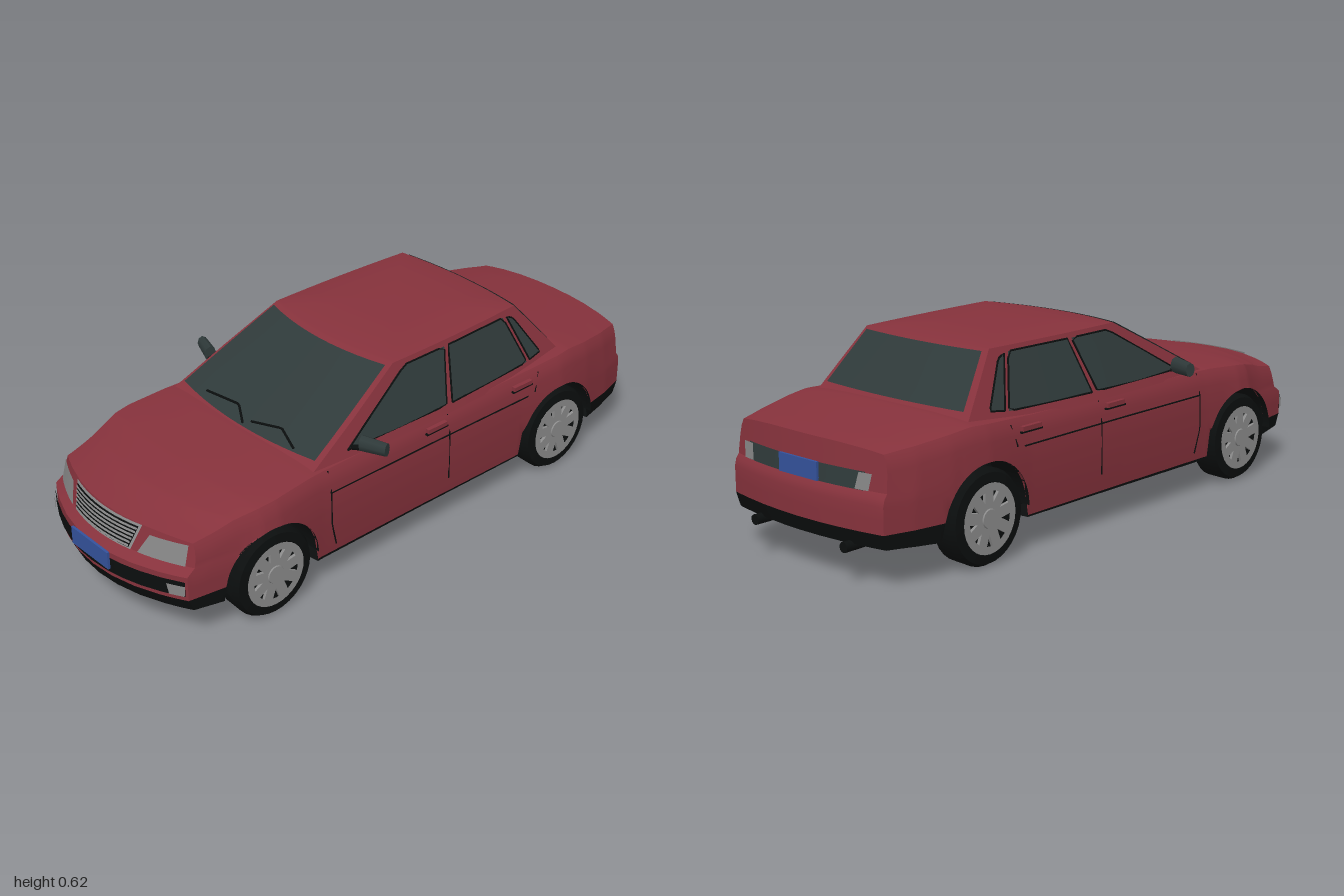
import * as THREE from 'three';
import { toCreasedNormals } from 'three/addons/utils/BufferGeometryUtils.js';

const mat = (name, color) => new THREE.MeshStandardMaterial({ name, color, side: THREE.DoubleSide });
const paint = mat('red paint', 0x86323c), glass = mat('dark glass', 0x2f3a3a);
const black = mat('black trim', 0x0b0e0e), silver = mat('silver', 0x8c8c8c);
const blue = mat('plate blue', 0x34529c), lamp = mat('lamp grey', 0x858585);

const R_ARCH = 0.165, WHEEL_Y = 0.15, WHEEL_Z = [0.612, -0.6], END = 0.995;

// piecewise linear lookup
function look(tab, v) {
  if (v <= tab[0][0]) return tab[0][1];
  for (let i = 1; i < tab.length; i++) {
    const [a, p] = tab[i - 1], [b, q] = tab[i];
    if (v <= b) return p + (q - p) * (v - a) / (b - a);
  }
  return tab[tab.length - 1][1];
}
const halfWidth = z => look([[-1, 0.315], [-0.9, 0.343], [-0.75, 0.366], [-0.6, 0.378], [-0.42, 0.368], [0, 0.366],
  [0.42, 0.368], [0.6, 0.379], [0.7, 0.373], [0.85, 0.35], [0.94, 0.338], [1, 0.328]], z);
const topY = z => look([[-1, 0.405], [-0.93, 0.413], [-0.65, 0.438], [-0.4, 0.425], [0.46, 0.418], [0.7, 0.402],
  [0.85, 0.385], [0.93, 0.368], [1, 0.355]], z);
const shoulderY = z => topY(z) - 0.015;
const floorY = z => look([[-1, 0.125], [-0.75, 0.11], [0.75, 0.105], [1, 0.13]], z);
const redY = z => (Math.abs(z) > 0.74 ? 0.17 : 0.115);
const sideX = (z, y) => halfWidth(z) * look([[0, 0.94], [0.02, 0.97], [0.05, 0.988], [0.1, 1], [0.23, 1], [0.3, 0.975]], shoulderY(z) - y);

// bows the two ends in plan and sets the upper nose and tail back from the bumpers
function warp(x, y, z) {
  if (z > 0) {
    const lean = look([[0.1, 0.03], [0.17, 0], [0.25, 0], [0.27, 0.03], [0.36, 0.055]], y);
    return [x, y, z - THREE.MathUtils.smoothstep(z, 0.55, 0.98) * (0.9 * x * x + lean)];
  }
  const lean = look([[0.1, 0.02], [0.17, 0], [0.265, 0], [0.28, 0.015], [0.41, 0.03]], y);
  return [x, y, z + THREE.MathUtils.smoothstep(-z, 0.65, 0.99) * (0.35 * x * x + lean)];
}
function archY(z) {
  for (const c of WHEEL_Z) {
    const d = Math.abs(z - c);
    if (d < R_ARCH) return WHEEL_Y + Math.sqrt(R_ARCH * R_ARCH - d * d);
  }
  return 0;
}

// surface from a grid of points
function grid(fn, ni, nj, crease = 0.5) {
  const pos = [], idx = [];
  for (let i = 0; i <= ni; i++) for (let j = 0; j <= nj; j++) pos.push(...fn(i, j));
  for (let i = 0; i < ni; i++) for (let j = 0; j < nj; j++) {
    const a = i * (nj + 1) + j, b = a + nj + 1;
    idx.push(a, a + 1, b, b, a + 1, b + 1);
  }
  const g = new THREE.BufferGeometry();
  g.setAttribute('position', new THREE.Float32BufferAttribute(pos, 3));
  g.setIndex(idx);
  return toCreasedNormals(g, crease);
}
function add(parent, name, geo, material, p = [0, 0, 0]) {
  const m = new THREE.Mesh(geo, material);
  m.name = name;
  m.position.set(...p);
  parent.add(m);
  return m;
}
// bilinear point in a quad of four 2D corners
const quadPoint = (q, s, t) => [0, 1].map(k =>
  (q[0][k] * (1 - s) + q[1][k] * s) * (1 - t) + (q[3][k] * (1 - s) + q[2][k] * s) * t);
const patch = (q, map, n = 10) => grid((i, j) => map(...quadPoint(q, i / n, j / 4)), n, 4);
function line(parent, name, pts, r = 0.003, material = black) {
  const path = new THREE.CurvePath();
  for (let i = 1; i < pts.length; i++) path.add(new THREE.LineCurve3(new THREE.Vector3(...pts[i - 1]), new THREE.Vector3(...pts[i])));
  add(parent, name, new THREE.TubeGeometry(path, 8 * (pts.length - 1), r, 5), material);
}

// body shell: cross-sections along z, wheel arches cut into the lower edge
const STATIONS = Array.from({ length: 141 }, (_, i) => -END + 2 * END * i / 140);
const CROWN = [0, 0.25, 0.5, 0.75, 0.9, 1];
const crownY = (z, f) => shoulderY(z) + (topY(z) - shoulderY(z)) * (1 - f ** 3);
function shell(parent, name, rows, crown, material) {
  const half = z => {
    const top = crown ? CROWN.slice(0, -1).map(f => [f * sideX(z, shoulderY(z)), crownY(z, f)]) : [];
    return [...top, ...rows(z).map(y => [sideX(z, y), y])].map(([x, y]) => {
      const p = warp(x, y, z);
      p[1] = Math.max(y, x > 0.3 ? archY(p[2]) : 0);
      return p;
    });
  };
  const sections = STATIONS.map(half), n = sections[0].length - 1;
  if (crown) add(parent, name, grid((i, j) => {
    const p = sections[i][Math.abs(j - n)];
    return [j < n ? -p[0] : p[0], p[1], p[2]];
  }, 140, 2 * n), material);
  else for (const s of [-1, 1]) add(parent, name, grid((i, j) => [s * sections[i][j][0], sections[i][j][1], sections[i][j][2]], 140, n), material);
  for (const z of [-END, END]) {
    const ys = rows(z);
    add(parent, name + (z > 0 ? 'Front' : 'Rear'), grid((i, j) => {
      const f = CROWN[Math.abs(j - 5)] * Math.sign(j - 5);
      return warp(f * sideX(z, ys[i]), crown && i === 0 ? crownY(z, Math.abs(f)) : ys[i], z);
    }, ys.length - 1, 10, 0.4), material);
  }
}

// cabin surfaces
const cabY = v => 0.4 + 0.205 * v;
const frontZ = v => 0.44 - 0.38 * v, rearZ = v => -0.65 + 0.17 * v;
const cabX = (z, y) => 0.35 - 0.4 * (y - 0.41) - 0.08 * (z + 0.05) ** 2;
const screen = (u, v, o = 0) => [u * cabX(frontZ(v), cabY(v)), cabY(v) + o, frontZ(v) + 0.04 * (1 - u * u) + o / 2];
const backlight = (u, v, o = 0) => [u * cabX(rearZ(v), cabY(v)), cabY(v) + o, rearZ(v) - 0.02 * (1 - u * u) - o];
function cabinRing(v) {
  const pts = [], n = 8;
  for (let i = 0; i < n; i++) pts.push(screen(-1 + 2 * i / n, v));
  for (let i = 0; i < n; i++) { const z = frontZ(v) + (rearZ(v) - frontZ(v)) * i / n; pts.push([cabX(z, cabY(v)), cabY(v), z]); }
  for (let i = 0; i < n; i++) pts.push(backlight(1 - 2 * i / n, v));
  for (let i = 0; i <= n; i++) { const z = rearZ(v) + (frontZ(v) - rearZ(v)) * i / n; pts.push([-cabX(z, cabY(v)), cabY(v), z]); }
  return pts;
}

function buildWheel() {
  const w = new THREE.Group();
  const prof = [[0, -0.1], [0.13, -0.1], [0.143, -0.085], [0.145, -0.02], [0.135, -0.003], [0.108, 0], [0.1, -0.012], [0, -0.012]];
  const tyre = new THREE.LatheGeometry(prof.map(p => new THREE.Vector2(...p)), 32);
  add(w, 'tyre', toCreasedNormals(tyre.rotateZ(-Math.PI / 2), 0.6), black);
  add(w, 'rimRing', new THREE.RingGeometry(0.082, 0.106, 32).rotateY(Math.PI / 2), silver, [0.002, 0, 0]);
  add(w, 'hub', new THREE.CylinderGeometry(0.028, 0.034, 0.014, 16).rotateZ(-Math.PI / 2), silver, [-0.003, 0, 0]);
  for (let i = 0; i < 9; i++) {
    const a = i * Math.PI * 2 / 9;
    const s = add(w, 'spoke', new THREE.BoxGeometry(0.01, 0.066, 0.034), silver, [-0.005, Math.cos(a) * 0.056, Math.sin(a) * 0.056]);
    s.rotation.x = a;
  }
  return w;
}

export function createModel() {
  const car = new THREE.Group();
  car.name = 'sedan';
  shell(car, 'body', z => [0, 0.02, 0.05].map(d => shoulderY(z) - d).concat(0.285, 0.27, 0.25, 0.21, redY(z)), true, paint);
  shell(car, 'lowerSkirt', z => [redY(z), (redY(z) + floorY(z)) / 2, floorY(z)], false, black);

  // underside
  add(car, 'floor', grid((i, j) => {
    const z = STATIONS[i], y = floorY(z), p = warp(sideX(z, y), y, z);
    const x = archY(p[2]) ? 0.26 : p[0];
    return warp(x * (j / 4 - 1), y, z);
  }, 140, 8), black);
  add(car, 'chassis', new THREE.BoxGeometry(0.52, 0.22, 1.72), black, [0, 0.22, -0.02]);
  for (const z of WHEEL_Z) add(car, 'axle', new THREE.CylinderGeometry(0.03, 0.03, 0.56, 10).rotateZ(Math.PI / 2), black, [0, 0.115, z]);

  // cabin with crowned roof
  const rings = [0, 0.5, 1].map(cabinRing);
  for (const k of [0.97, 0.85, 0.6, 0.3, 0]) rings.push(rings[2].map(([x, , z]) => [x * k, 0.605 + 0.015 * (1 - k ** 4), -0.2 + (z + 0.2) * k]));
  add(car, 'cabin', grid((i, j) => rings[i][j], rings.length - 1, rings[0].length - 1, 0.45), paint);
  add(car, 'windscreen', patch([[-0.95, 0.1], [0.95, 0.1], [0.95, 0.96], [-0.95, 0.96]], (u, v) => screen(u, v, 0.005)), glass);
  add(car, 'rearWindow', patch([[-0.93, 0.22], [0.93, 0.22], [0.93, 0.95], [-0.93, 0.95]], (u, v) => backlight(u, v, 0.004)), glass);
  for (const [a, b, c] of [[-0.6, -0.15, 0.05], [0.12, 0.45, 0.7]])
    line(car, 'wiper', [screen(a, 0.16, 0.01), screen(b, 0.22, 0.01), screen(c, 0.12, 0.01)], 0.004);

  // side windows, seams, handles and mirrors
  const windows = [[[0.3, 0.428], [-0.1, 0.428], [-0.147, 0.59], [0.02, 0.59]],
    [[-0.125, 0.428], [-0.475, 0.432], [-0.415, 0.59], [-0.165, 0.59]],
    [[-0.49, 0.435], [-0.545, 0.442], [-0.46, 0.575], [-0.432, 0.588]]];
  for (const s of [1, -1]) {
    const onCabin = (z, y) => [s * (cabX(z, y) + 0.004), y, z];
    const onSide = (z, y) => [s * sideX(z, y), y, z];
    for (const q of windows) {
      add(car, 'sideWindow', patch(q, onCabin), glass);
      line(car, 'windowFrame', [...q, q[0]].map(p => onCabin(...p)), 0.003);
    }
    const seams = [[[0.39, 0.4], [0.39, 0.33], [0.39, 0.22], [0.37, 0.14]], [[-0.1, 0.4], [-0.1, 0.33], [-0.1, 0.17]],
      [[-0.5, 0.4], [-0.48, 0.335]], [[0.39, 0.33], [0, 0.33], [-0.45, 0.33]]];
    for (const q of seams) line(car, 'doorSeam', q.map(p => onSide(...p)), 0.0025);
    for (const z of [-0.04, -0.42]) {
      add(car, 'doorHandle', new THREE.BoxGeometry(0.014, 0.014, 0.08), paint, [s * 0.366, 0.382, z]);
      add(car, 'handleRecess', new THREE.BoxGeometry(0.01, 0.005, 0.09), black, [s * 0.367, 0.372, z]);
    }
    const mirror = new THREE.CylinderGeometry(0.03, 0.036, 0.085, 8).rotateZ(-s * Math.PI / 2).scale(1, 0.75, 0.55);
    add(car, 'mirror', mirror, glass, [s * 0.4, 0.45, 0.252]).rotation.y = s * 0.35;
    line(car, 'mirrorArm', [[s * 0.335, 0.43, 0.28], [s * 0.375, 0.438, 0.262]], 0.009);

    // lamps and exhaust
    const nose = (x, y) => { const p = warp(s * x, y, END); return [p[0], p[1], p[2] + 0.007]; };
    const tail = (x, y) => { const p = warp(s * x, y, -END); return [p[0], p[1], p[2] - 0.008]; };
    add(car, 'headlight', patch([[0.16, 0.275], [0.306, 0.273], [0.304, 0.337], [0.19, 0.337]], nose), lamp);
    add(car, 'fogLamp', patch([[0.285, 0.19], [0.327, 0.19], [0.33, 0.225], [0.278, 0.225]], (x, y) => { const p = nose(x, y); p[2] += 0.004; return p; }), lamp);
    add(car, 'reverseLamp', patch([[0.215, 0.287], [0.262, 0.287], [0.27, 0.335], [0.225, 0.335]], tail), lamp);
    add(car, 'exhaust', new THREE.CylinderGeometry(0.016, 0.016, 0.1, 12).rotateX(Math.PI / 2), black, [s * 0.19, 0.118, -0.945]);

    // wheels and wheel wells
    for (const z of WHEEL_Z) {
      const w = buildWheel();
      w.name = z > 0 ? 'frontWheel' : 'rearWheel';
      w.position.set(s * 0.37, 0.147, z);
      if (s < 0) w.rotation.y = Math.PI;
      car.add(w);
      const well = new THREE.CylinderGeometry(R_ARCH, R_ARCH, 0.12, 24, 1, true, 0, Math.PI).rotateZ(Math.PI / 2);
      add(car, 'wheelWell', well, black, [s * 0.313, WHEEL_Y, z]);
    }
  }

  // grille, bumper intake, tail band and number plates
  const front = o => (x, y) => { const p = warp(x, y, END); return [p[0], p[1], p[2] + o]; };
  const rear = o => (x, y) => { const p = warp(x, y, -END); return [p[0], p[1], p[2] - o]; };
  const rect = (x, y0, y1) => [[-x, y0], [x, y0], [x, y1], [-x, y1]];
  add(car, 'grilleFrame', patch([[-0.135, 0.274], [0.135, 0.274], [0.16, 0.357], [-0.16, 0.357]], front(0.006)), silver);
  add(car, 'grille', patch([[-0.13, 0.28], [0.13, 0.28], [0.152, 0.351], [-0.152, 0.351]], front(0.009)), black);
  for (let i = 0; i < 6; i++) {
    const y = 0.283 + i * 0.0115, x = 0.13 + i * 0.004;
    add(car, 'grilleBar', patch(rect(x, y, y + 0.007), front(0.012)), silver);
  }
  add(car, 'bumperIntake', patch(rect(0.325, 0.186, 0.236), front(0.005)), black);
  add(car, 'tailBand', patch(rect(0.245, 0.285, 0.337), rear(0.005)), glass);
  add(car, 'frontPlate', new THREE.BoxGeometry(0.18, 0.058, 0.008), blue, [0, 0.231, 1.0]);
  add(car, 'rearPlate', new THREE.BoxGeometry(0.16, 0.055, 0.008), blue, [0, 0.313, -0.985]);
  return car;
}
